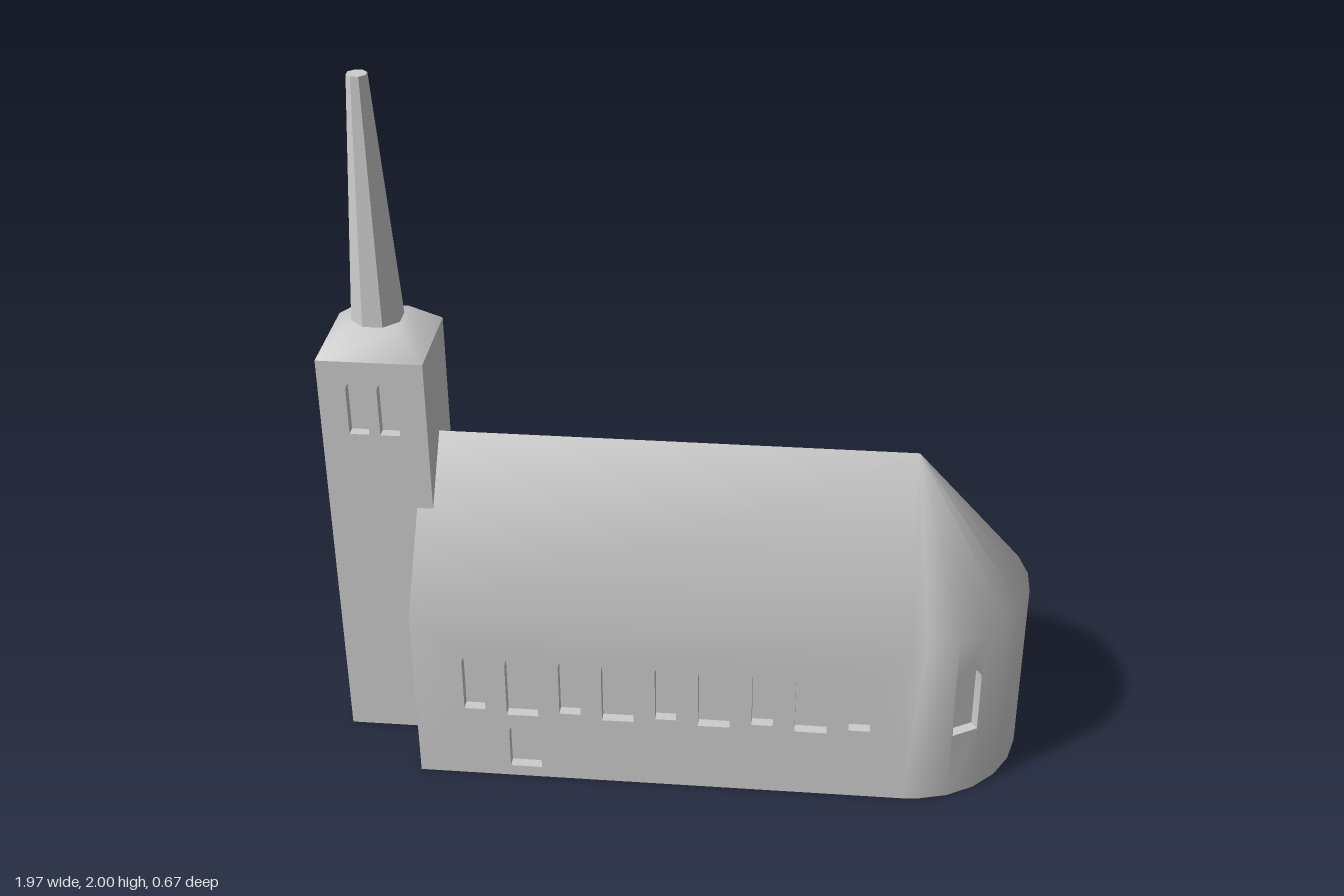
import * as THREE from 'three';
import { mergeGeometries, toCreasedNormals } from 'three/addons/utils/BufferGeometryUtils.js';

const RECESS = 0.03;

// Triangles from a flat list of corner vectors
function triangles(corners) {
  return new THREE.BufferGeometry().setFromPoints(corners);
}

// Round-arched outline centred on x
function archPath(Type, { x, w, y0, y1 }) {
  const r = w / 2, p = new Type();
  p.moveTo(x - r, y0);
  p.lineTo(x + r, y0);
  p.lineTo(x + r, y1 - r);
  p.absarc(x, y1 - r, r, 0, Math.PI, false);
  p.closePath();
  return p;
}

function flatShape(shape) {
  const g = new THREE.ShapeGeometry(shape, 8).toNonIndexed();
  g.deleteAttribute('uv');
  g.deleteAttribute('normal');
  return g;
}

// Wall from a to b (outside on the right-hand side) with recessed arched openings
function wall(a, b, height, openings = []) {
  const len = a.distanceTo(b);
  const shape = new THREE.Shape([[0, 0], [len, 0], [len, height], [0, height]].map(p => new THREE.Vector2(...p)));
  const parts = [];
  for (const o of openings) {
    shape.holes.push(archPath(THREE.Path, o));
    const arch = archPath(THREE.Shape, o);
    parts.push(flatShape(arch).translate(0, 0, -RECESS));
    const ring = arch.getPoints(8), reveal = [];
    ring.forEach((p, i) => {
      const q = ring[(i + 1) % ring.length];
      const at = (v, z) => new THREE.Vector3(v.x, v.y, z);
      if (p.distanceTo(q) < 1e-6) return;
      reveal.push(at(p, 0), at(q, 0), at(q, -RECESS), at(p, 0), at(q, -RECESS), at(p, -RECESS));
    });
    parts.push(triangles(reveal));
  }
  parts.push(flatShape(shape));
  const u = b.clone().sub(a).normalize(), up = new THREE.Vector3(0, 1, 0);
  const m = new THREE.Matrix4().makeBasis(u, up, u.clone().cross(up)).setPosition(a);
  return mergeGeometries(parts).applyMatrix4(m);
}

// Underside of a footprint
function floor(points) {
  const c = new THREE.Vector3();
  points.forEach(p => c.addScaledVector(p, 1 / points.length));
  return triangles(points.flatMap((p, i) => [c, points[(i + 1) % points.length], p]));
}

export function createModel() {
  const group = new THREE.Group();
  const stone = new THREE.MeshStandardMaterial({ color: 0xcccccc });
  stone.name = 'pale grey stone';
  const add = (name, geometry) => {
    const mesh = new THREE.Mesh(geometry, stone);
    mesh.name = name;
    group.add(mesh);
    return mesh;
  };

  // Nave and apse footprint
  const west = -0.74, east = 0.65, R = 0.335, eave = 0.54, ridge = 0.95;
  const V = (x, y, z) => new THREE.Vector3(x, y, z);
  const angles = [90];
  for (let a = 82.5; a >= -82.5; a -= 15) angles.push(a);
  angles.push(-90);
  const arc = angles.map(d => {
    const a = THREE.MathUtils.degToRad(d);
    return V(east + R * Math.cos(a), 0, R * Math.sin(a));
  });
  const frontWest = V(west, 0, R), backWest = V(west, 0, -R);

  // Alternating small and large windows, with a side door below
  const openings = [];
  for (let i = 0; i < 9; i++) {
    const x = -0.57 + i * 0.1362;
    openings.push(i % 2 ? { x, w: 0.09, y0: 0.22, y1: 0.435 } : { x, w: 0.06, y0: 0.235, y1: 0.425 });
  }
  openings.push({ x: -0.43, w: 0.09, y0: 0.035, y1: 0.2 });

  const body = [
    wall(frontWest, arc[0], eave, openings.map(o => ({ ...o, x: o.x - west }))),
    wall(arc[arc.length - 1], backWest, eave, openings.map(o => ({ ...o, x: east - o.x }))),
    wall(backWest, frontWest, eave),
    floor([frontWest, ...arc, backWest]),
  ];

  // Apse walls and half-cone roof
  const lift = p => V(p.x, eave, p.z);
  const ridgeEast = V(east, ridge, 0), ridgeWest = V(west, ridge, 0);
  const roof = [];
  for (let i = 0; i < arc.length - 1; i++) {
    const a = arc[i], b = arc[i + 1];
    const middle = (angles[i] + angles[i + 1]) / 2;
    const hasWindow = [60, 0, -60].some(d => Math.abs(middle - d) < 1);
    body.push(wall(a, b, eave, hasWindow ? [{ x: a.distanceTo(b) / 2, w: 0.08, y0: 0.215, y1: 0.432 }] : []));
    roof.push(lift(a), lift(b), ridgeEast);
  }

  // Nave roof slopes and west gable
  const fw = lift(frontWest), fe = lift(arc[0]), be = lift(arc[arc.length - 1]), bw = lift(backWest);
  roof.push(fw, fe, ridgeEast, fw, ridgeEast, ridgeWest);
  roof.push(be, bw, ridgeWest, be, ridgeWest, ridgeEast);
  roof.push(bw, fw, ridgeWest);
  body.push(triangles(roof));
  add('naveAndApse', toCreasedNormals(mergeGeometries(body), Math.PI / 4));

  // Tower with paired belfry windows front and back
  const tx = -0.842, hx = 0.147, hz = 0.14, towerTop = 1.235;
  const corners = [[-1, 1], [1, 1], [1, -1], [-1, -1]].map(([x, z]) => V(tx + x * hx, 0, z * hz));
  const belfry = [-0.043, 0.043].map(x => ({ x: hx + x, w: 0.055, y0: 1.01, y1: 1.175 }));
  const tower = corners.map((c, i) => wall(c, corners[(i + 1) % 4], towerTop, i % 2 ? [] : belfry));
  tower.push(floor(corners));
  add('tower', toCreasedNormals(mergeGeometries(tower), Math.PI / 4));

  // Sloping tower cap
  const capHeight = 0.07;
  const cap = new THREE.CylinderGeometry(0.068 * Math.SQRT2, hz * Math.SQRT2, capHeight, 4, 1, false, Math.PI / 4);
  cap.scale(hx / hz, 1, 1);
  add('towerCap', toCreasedNormals(cap, Math.PI / 3)).position.set(tx, towerTop + capHeight / 2, 0);

  // Eight-sided tapering spire
  const spireBase = towerTop + capHeight, spireHeight = 2 - spireBase;
  const spire = new THREE.CylinderGeometry(0.028, 0.073, spireHeight, 8, 1, false, Math.PI / 8);
  add('spire', toCreasedNormals(spire, 0.3)).position.set(tx, spireBase + spireHeight / 2, 0);

  return group;
}
